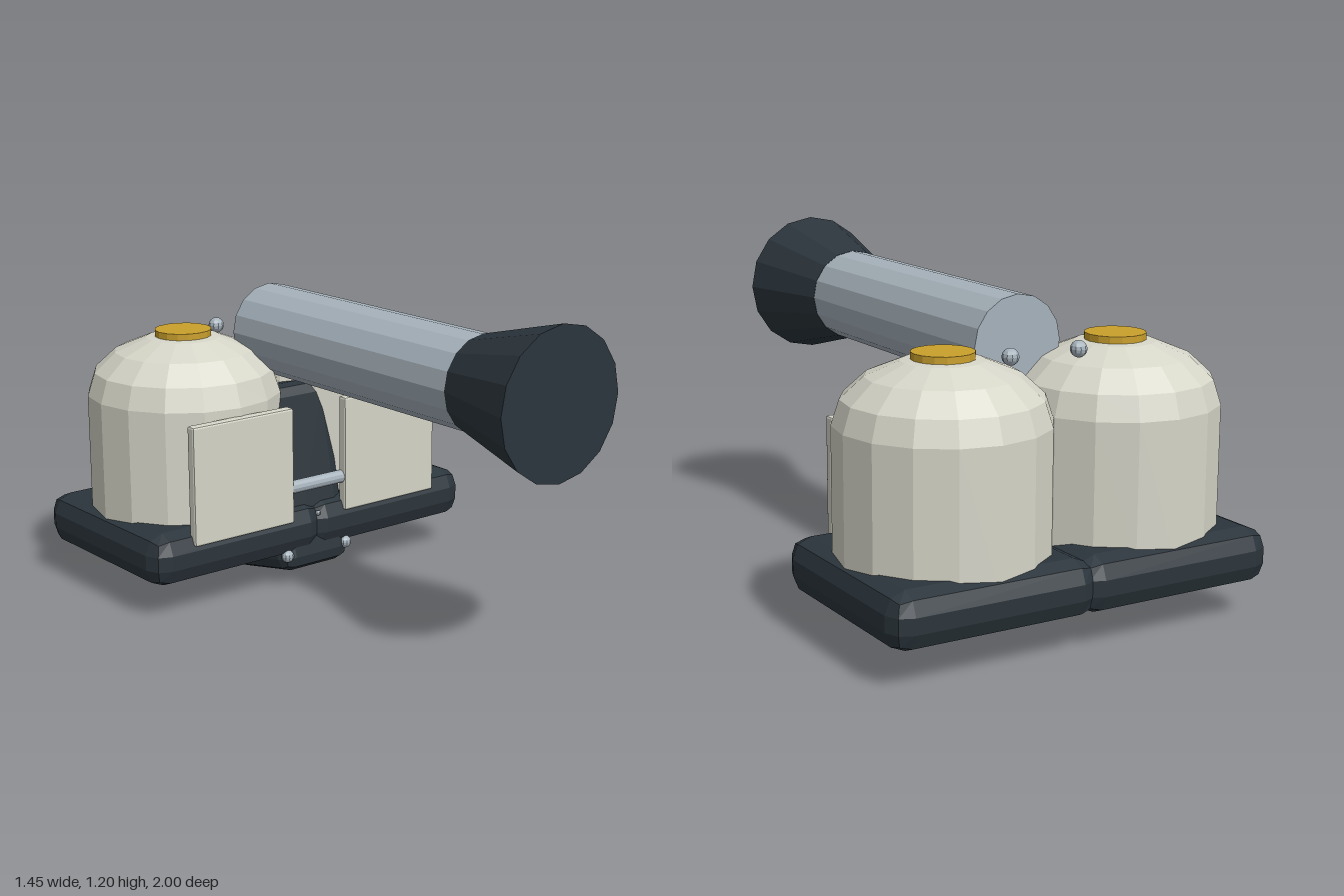
import * as THREE from 'three';
import { RoundedBoxGeometry } from 'three/addons/geometries/RoundedBoxGeometry.js';

const material = (name, color) => {
  const m = new THREE.MeshStandardMaterial({ color });
  m.name = name;
  return m;
};

// Gives every facet its own normal
function faceted(geometry) {
  const g = geometry.index ? geometry.toNonIndexed() : geometry;
  g.computeVertexNormals();
  return g;
}

export function createModel() {
  const model = new THREE.Group();
  model.name = 'twinDomeTurret';
  const dark = material('darkSlate', 0x2b353c);
  const cream = material('creamArmour', 0xd5d5c8);
  const steel = material('paleSteel', 0xa6b2bb);
  const gold = material('goldCap', 0xcaa02c);

  const add = (name, geometry, mat, x, y, z) => {
    const mesh = new THREE.Mesh(faceted(geometry), mat);
    mesh.name = name;
    mesh.position.set(x, y, z);
    model.add(mesh);
    return mesh;
  };

  // Armour dome: straight wall with a flattened quarter-ellipse roof
  const profile = [new THREE.Vector2(0, 0.24), new THREE.Vector2(0.36, 0.24)];
  for (let i = 0; i <= 4; i++) {
    const a = (i * Math.PI) / 8;
    profile.push(new THREE.Vector2(i === 4 ? 0 : 0.36 * Math.cos(a), 0.73 + 0.22 * Math.sin(a)));
  }

  for (const [side, s] of [['left', 1], ['right', -1]]) {
    // Base halves overlap at the middle to leave a shallow seam
    add(side + 'BasePlate', new RoundedBoxGeometry(0.755, 0.195, 0.77, 1, 0.07), dark, s * 0.3475, 0.2175, -0.615);
    add(side + 'Dome', new THREE.LatheGeometry(profile, 16), cream, s * 0.335, 0, -0.613);
    add(side + 'DomeCap', new THREE.CylinderGeometry(0.105, 0.105, 0.03, 16), gold, s * 0.335, 0.946, -0.613);
    add(side + 'FrontPanel', new RoundedBoxGeometry(0.44, 0.44, 0.04, 1, 0.008), cream, s * 0.34, 0.48, -0.246);
    add(side + 'TopBolt', new THREE.SphereGeometry(0.029, 10, 8), steel, s * 0.132, 0.935, -0.692);
    add(side + 'LowerBolt', new THREE.SphereGeometry(0.024, 10, 8), steel, s * 0.137, 0.128, -0.25);
  }

  // Leaning pillar that passes through the base and carries the barrel
  const pillar = add('pillar', new RoundedBoxGeometry(0.31, 0.7, 0.385, 1, 0.05), dark, 0, 0.373, -0.485);
  pillar.rotation.x = -0.2;

  // Cross bar between the front panels, and the seam pin
  add('crossBar', new THREE.CylinderGeometry(0.025, 0.025, 0.28, 12), steel, 0, 0.39, -0.255).rotation.z = Math.PI / 2;
  add('seamPin', new THREE.SphereGeometry(0.01, 8, 6), steel, 0, 0.272, -0.24);

  // Barrel and flared muzzle
  add('barrel', new THREE.CylinderGeometry(0.167, 0.167, 1.17, 16), steel, 0, 0.937, 0.055).rotation.x = Math.PI / 2;
  add('muzzle', new THREE.CylinderGeometry(0.26, 0.168, 0.36, 16), dark, 0, 0.937, 0.82).rotation.x = Math.PI / 2;

  return model;
}
